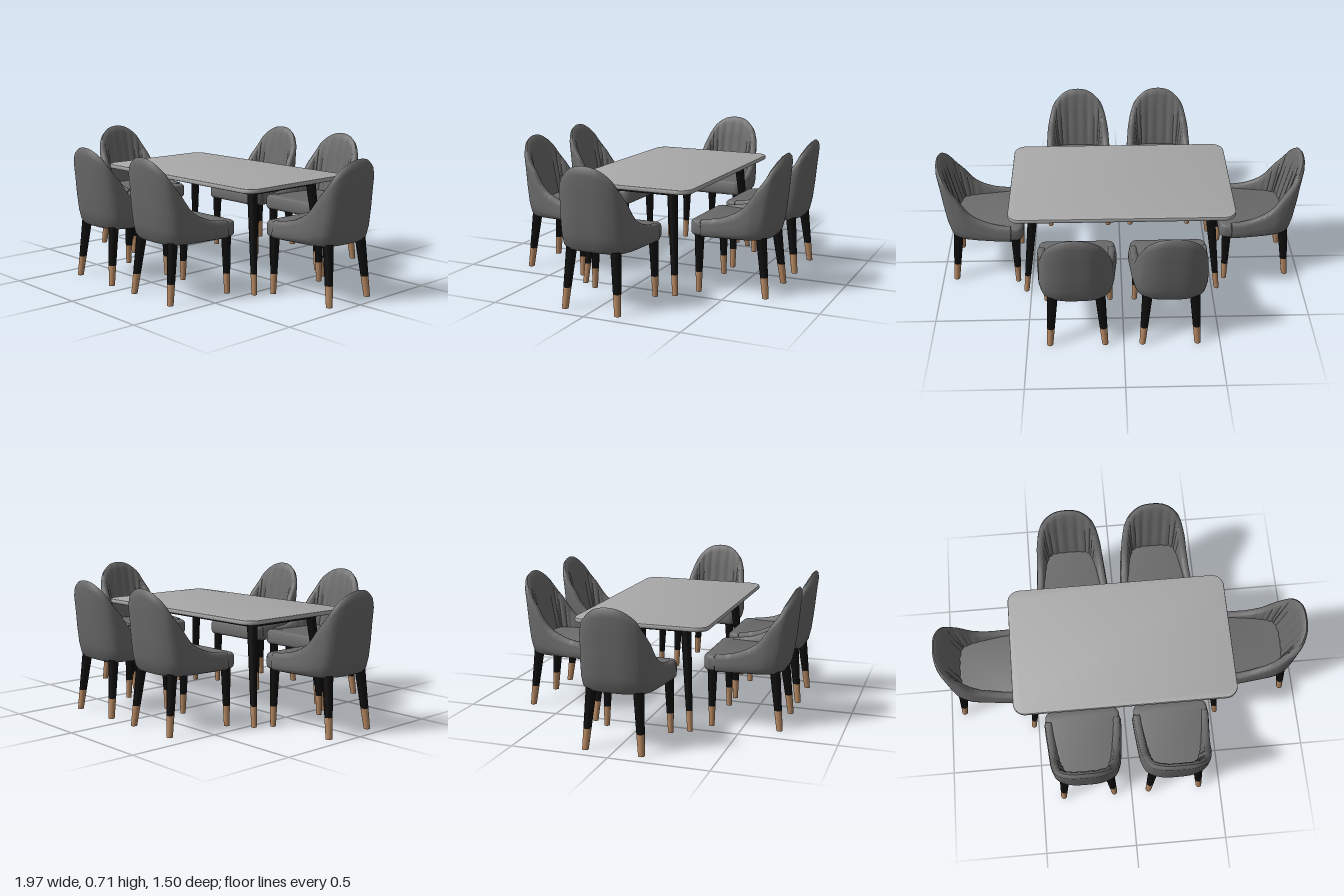
import * as THREE from 'three';
import { toCreasedNormals } from 'three/addons/utils/BufferGeometryUtils.js';

const mat = (name, color) => {
  const m = new THREE.MeshStandardMaterial({ color });
  m.name = name;
  return m;
};

export function createModel() {
  const fabric = mat('grey upholstery', 0x6a6a6a);
  const stone = mat('light grey tabletop', 0xa8a8a8);
  const black = mat('black', 0x0d0d0d);
  const wood = mat('light wood', 0xb58862);

  const add = (parent, name, geo, material) => {
    const mesh = new THREE.Mesh(geo, material);
    mesh.name = name;
    parent.add(mesh);
    return mesh;
  };

  // Slanted tapered bar with level ends, between two heights
  const taper = (bottom, top, rBottom, rTop) => {
    const h = top.y - bottom.y;
    const g = new THREE.CylinderGeometry(rTop, rBottom, h, 16);
    const shear = new THREE.Matrix4().set(
      1, (top.x - bottom.x) / h, 0, (top.x + bottom.x) / 2,
      0, 1, 0, (top.y + bottom.y) / 2,
      0, (top.z - bottom.z) / h, 1, (top.z + bottom.z) / 2,
      0, 0, 0, 1);
    return g.applyMatrix4(shear);
  };

  // Black leg with a wooden foot
  const addLeg = (parent, name, bottom, top, rBottom, rTop) => {
    const leg = new THREE.Group();
    leg.name = name;
    const t = 0.105 / top.y;
    const mid = bottom.clone().lerp(top, t);
    const rMid = rBottom + (rTop - rBottom) * t;
    add(leg, 'legFoot', taper(bottom, mid, rBottom, rMid), wood);
    add(leg, 'legShaft', taper(mid, top, rMid, rTop), black);
    parent.add(leg);
  };

  // Wraparound backrest: x, rim height and z along half of the base outline
  const half = [
    [0.205, 0.383, 0.17], [0.202, 0.39, 0.11], [0.196, 0.405, 0.05], [0.189, 0.45, -0.025],
    [0.178, 0.55, -0.085], [0.148, 0.64, -0.138], [0.08, 0.698, -0.166],
  ];
  const mirrored = half.map(([x, y, z]) => [-x, y, z]).reverse();
  const path = new THREE.CatmullRomCurve3(
    [...half, [0, 0.715, -0.171], ...mirrored].map(p => new THREE.Vector3(...p)));
  // Cross-section: inward offset, fraction of the rim height, channel depth
  const section = [
    [0.012, 0, 0], [0.001, 0.05, 0], [-0.005, 0.2, 0], [-0.004, 0.45, 0], [0, 0.7, 0],
    [0.002, 0.9, 0], [0.008, 0.97, 0], [0.02, 1, 0], [0.032, 0.975, 0.2], [0.038, 0.91, 0.6],
    [0.043, 0.7, 1], [0.05, 0.45, 1], [0.057, 0.2, 1], [0.055, 0, 0],
  ];
  const shellGeometry = () => {
    const N = 120, S = section.length, y0 = 0.295;
    const pos = [], idx = [];
    for (let i = 0; i <= N; i++) {
      const p = path.getPointAt(i / N), t = path.getTangentAt(i / N);
      const len = Math.hypot(t.x, t.z);
      const nx = t.z / len, nz = -t.x / len;
      const back = THREE.MathUtils.smoothstep(-p.z, -0.12, 0.15);
      const channel = 0.006 * back * Math.abs(Math.sin((i / N) * Math.PI * 20));
      for (const [o, f, c] of section) {
        const off = o + c * (channel - 0.002 * back);
        const y = y0 + f * (p.y - y0);
        const lean = 0.055 * back * (y - y0) / 0.42;
        pos.push(p.x + nx * off, y, p.z + nz * off - lean);
      }
    }
    for (let i = 0; i < N; i++) {
      for (let j = 0; j < S; j++) {
        const k = (j + 1) % S;
        const a = i * S + j, b = a + S, c = (i + 1) * S + k, d = i * S + k;
        idx.push(a, b, c, a, c, d);
      }
    }
    for (let j = 1; j < S - 1; j++) {
      idx.push(0, j, j + 1, N * S, N * S + j + 1, N * S + j);
    }
    const g = new THREE.BufferGeometry();
    g.setAttribute('position', new THREE.Float32BufferAttribute(pos, 3));
    g.setIndex(idx);
    return toCreasedNormals(g, 0.8);
  };

  // Flat slab from a plan outline, with softened edges
  const slab = (shape, bottom, top, bevel, segments) => {
    const g = new THREE.ExtrudeGeometry(shape, {
      depth: top - bottom - 2 * bevel, bevelEnabled: true, bevelThickness: bevel,
      bevelSize: bevel, bevelOffset: -bevel, bevelSegments: segments, curveSegments: 8,
    });
    g.rotateX(Math.PI / 2).translate(0, top - bevel, 0);
    return toCreasedNormals(g, 0.7);
  };

  // Seat cushion: narrow between the arms, full width at the front
  const seat = new THREE.Shape();
  seat.moveTo(-0.135, -0.13);
  seat.lineTo(0.135, -0.13);
  seat.lineTo(0.178, 0.165);
  seat.lineTo(0.203, 0.172);
  seat.lineTo(0.2, 0.2);
  seat.quadraticCurveTo(0.195, 0.232, 0.16, 0.235);
  seat.lineTo(-0.16, 0.235);
  seat.quadraticCurveTo(-0.195, 0.232, -0.2, 0.2);
  seat.lineTo(-0.203, 0.172);
  seat.lineTo(-0.178, 0.165);
  seat.closePath();

  const shellGeo = shellGeometry();
  const seatGeo = slab(seat, 0.298, 0.378, 0.018, 4);
  const V = (x, y, z) => new THREE.Vector3(x, y, z);

  const makeChair = (name, x, z, turn) => {
    const chair = new THREE.Group();
    chair.name = name;
    add(chair, 'backrestShell', shellGeo, fabric);
    add(chair, 'seatCushion', seatGeo, fabric);
    for (const s of [-1, 1]) {
      addLeg(chair, 'frontLeg', V(s * 0.173, 0, 0.19), V(s * 0.163, 0.305, 0.192), 0.014, 0.025);
      addLeg(chair, 'backLeg', V(s * 0.143, 0, -0.158), V(s * 0.12, 0.305, -0.122), 0.016, 0.027);
    }
    chair.position.set(x, 0, z);
    chair.rotation.y = turn;
    return chair;
  };

  const model = new THREE.Group();
  model.name = 'diningSet';

  // Table
  const table = new THREE.Group();
  table.name = 'table';
  const W = 0.595, D = 0.355, R = 0.065;
  const top = new THREE.Shape();
  top.moveTo(-W + R, -D);
  top.absarc(W - R, -D + R, R, -Math.PI / 2, 0);
  top.absarc(W - R, D - R, R, 0, Math.PI / 2);
  top.absarc(-W + R, D - R, R, Math.PI / 2, Math.PI);
  top.absarc(-W + R, -D + R, R, Math.PI, Math.PI * 1.5);
  add(table, 'tabletop', slab(top, 0.532, 0.556, 0.006, 2), stone);
  const rail = (name, w, d, x, z) =>
    add(table, name, new THREE.BoxGeometry(w, 0.034, d), black).position.set(x, 0.517, z);
  for (const s of [-1, 1]) {
    rail('longRail', 0.94, 0.03, 0, s * 0.215);
    rail('endRail', 0.03, 0.43, s * 0.465, 0);
    for (const q of [-1, 1]) {
      addLeg(table, 'tableLeg', V(s * 0.527, 0, q * 0.258), V(s * 0.465, 0.533, q * 0.215), 0.014, 0.027);
    }
  }
  rail('centreRail', 0.03, 0.43, 0, 0);
  model.add(table);

  // Two chairs on each long side, one at each end
  for (const x of [-0.24, 0.24]) {
    model.add(makeChair('backChair', x, -0.53, 0));
    model.add(makeChair('frontChair', x, 0.53, Math.PI));
  }
  model.add(makeChair('rightEndChair', -0.768, 0, Math.PI / 2));
  model.add(makeChair('leftEndChair', 0.768, 0, -Math.PI / 2));
  return model;
}
